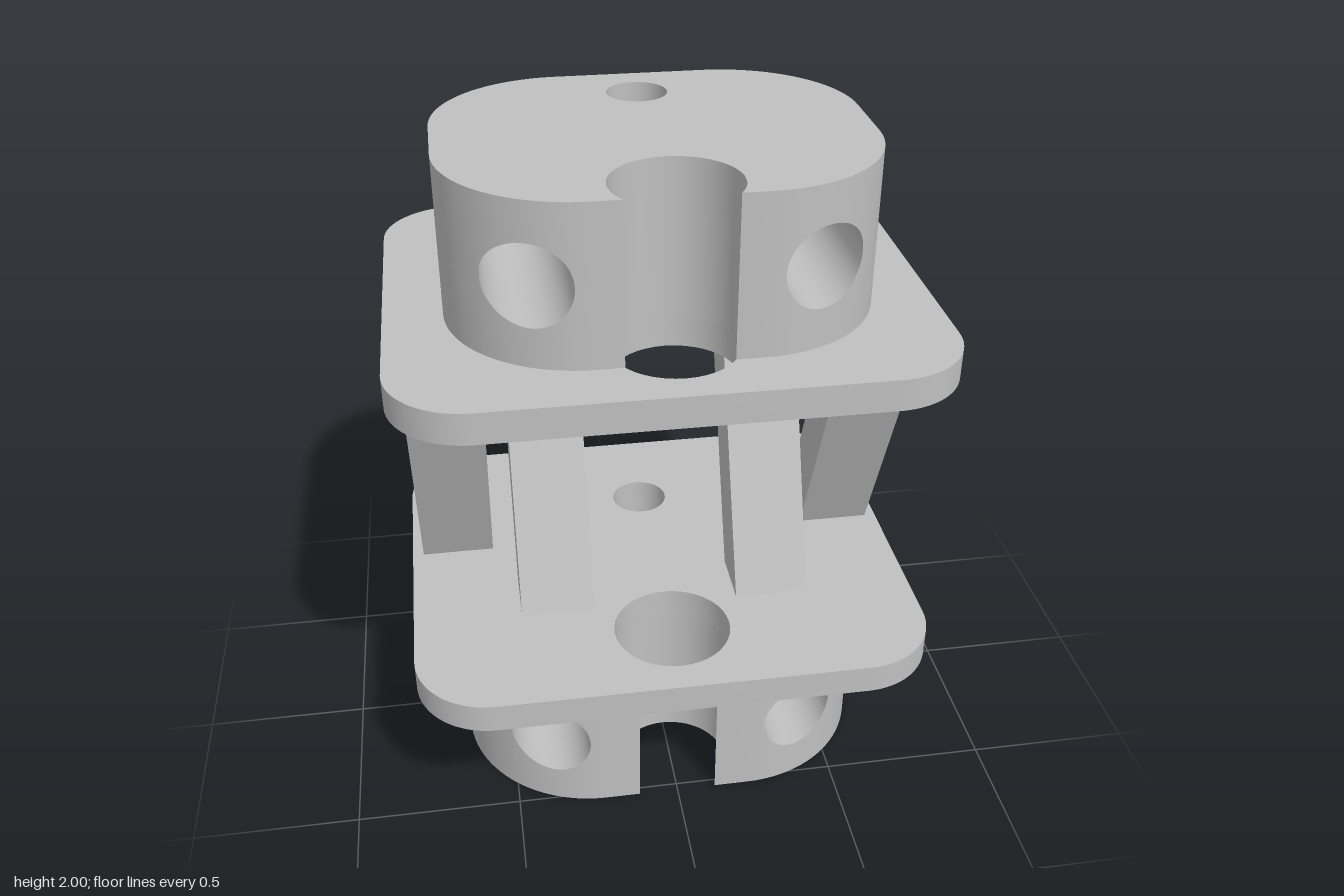
import * as THREE from 'three';
import { mergeGeometries, toCreasedNormals } from 'three/addons/utils/BufferGeometryUtils.js';

const PI = Math.PI;
const NOTCH = { z: 0.395, r: 0.177 };              // large vertical bore, open at the front of the blocks
const PIN = { z: -0.317, r: 0.09 };                // small vertical bore
const BORE = { x: 0.39, r: 0.118, steps: 24 };     // horizontal bores, running front to back

// Smooth surface between two matching rows of points
function sheet(a, b) {
  const index = [];
  const n = a.length;
  for (let i = 0; i < n - 1; i++) index.push(i, i + 1, n + i, i + 1, n + i + 1, n + i);
  const g = new THREE.BufferGeometry();
  g.setAttribute('position', new THREE.Float32BufferAttribute([...a, ...b].flat(), 3));
  g.setIndex(index);
  g.computeVertexNormals();
  return g;
}

// Plan points [x, z] on a circle, angle measured from the front
function arc({ z, r }, a0, a1, n) {
  return Array.from({ length: n + 1 }, (_, i) => {
    const a = a0 + ((a1 - a0) * i) / n;
    return [r * Math.sin(a), z + r * Math.cos(a)];
  });
}

// Upright wall along plan points
const wall = (pts, y0, y1) => sheet(pts.map(([x, z]) => [x, y0, z]), pts.map(([x, z]) => [x, y1, z]));

// Rounded block with a front notch, a pin hole and two cross bores
function blockGeometry(hx, hz, r, y0, y1) {
  const yc = (y0 + y1) / 2;
  const depth = (x) => {
    const d = Math.max(0, Math.abs(x) - (hx - r));
    return hz - r + Math.sqrt(Math.max(0, r * r - d * d));
  };

  // One quarter of the outline, sampled to match the bore rims
  const xs = [];
  for (let i = 0; i <= 24; i++) {
    const x = hx - r + r * Math.sin((i / 24) * PI / 2);
    if (Math.abs(x - BORE.x) > BORE.r + 0.002) xs.push(x);
  }
  for (let i = 0; i <= BORE.steps; i++) xs.push(BORE.x + BORE.r * Math.cos((PI * i) / BORE.steps));
  xs.sort((p, q) => p - q);
  const quarter = xs.map((x) => [x, depth(x)]);
  const back = [...quarter].reverse();
  const edge = Math.sqrt(NOTCH.r ** 2 - (hz - NOTCH.z) ** 2);
  const ring = [
    [edge, hz], ...quarter,
    ...back.map(([x, z]) => [x, -z]),
    ...quarter.map(([x, z]) => [-x, -z]),
    ...back.map(([x, z]) => [-x, z]), [-edge, hz],
  ];

  // Outer wall in two bands, parting around the bores
  const gap = ([x]) => Math.sqrt(Math.max(0, BORE.r ** 2 - (Math.abs(x) - BORE.x) ** 2));
  const row = (f) => ring.map((p) => [p[0], f(p), p[1]]);
  const parts = [
    sheet(row(() => y0), row((p) => yc - gap(p))),
    sheet(row((p) => yc + gap(p)), row(() => y1)),
  ];

  // Notch and pin hole walls
  const a = Math.atan2(edge, hz - NOTCH.z);
  const notch = arc(NOTCH, 2 * PI - a, a, 40);
  const pin = arc(PIN, 2 * PI, 0, 40);
  parts.push(wall(notch, y0, y1), wall(pin, y0, y1));

  // Cross bores
  for (const side of [-1, 1]) {
    const rim = (s) => Array.from({ length: 2 * BORE.steps + 1 }, (_, i) => {
      const t = (PI * i) / BORE.steps;
      const x = side * BORE.x + BORE.r * Math.cos(t);
      return [x, yc + BORE.r * Math.sin(t), s * depth(x)];
    });
    parts.push(sheet(rim(1), rim(-1)));
  }

  // Top and bottom faces
  for (const [s, y] of [[-1, y1], [1, y0]]) {
    const flat = (pts) => pts.map(([x, z]) => new THREE.Vector2(x, s * z));
    const shape = new THREE.Shape(flat([...ring, ...notch.slice(1, -1)]));
    shape.holes.push(new THREE.Path(flat(pin.slice(0, -1))));
    const cap = new THREE.ShapeGeometry(shape).rotateX((s * PI) / 2).translate(0, y, 0);
    cap.deleteAttribute('uv');
    parts.push(cap);
  }
  return mergeGeometries(parts);
}

// Rounded flange plate with both vertical bores
function plateGeometry(hx, hz, r, y0, y1) {
  const s = new THREE.Shape();
  s.absarc(hx - r, hz - r, r, 0, PI / 2);
  s.absarc(r - hx, hz - r, r, PI / 2, PI);
  s.absarc(r - hx, r - hz, r, PI, 1.5 * PI);
  s.absarc(hx - r, r - hz, r, 1.5 * PI, 2 * PI);
  for (const h of [NOTCH, PIN]) s.holes.push(new THREE.Path().absarc(0, -h.z, h.r, 0, 2 * PI, true));
  const g = new THREE.ExtrudeGeometry(s, { depth: y1 - y0, bevelEnabled: false, curveSegments: 20 });
  g.rotateX(-PI / 2).translate(0, y0, 0);
  return toCreasedNormals(g, 0.6);
}

// Slanted strut: a box sheared along z so its ends stay level
function strutGeometry(width, thick, y0, y1, lean) {
  const g = new THREE.BoxGeometry(width, y1 - y0, thick);
  const p = g.attributes.position;
  for (let i = 0; i < p.count; i++) p.setZ(i, p.getZ(i) + Math.sign(p.getY(i)) * lean);
  g.computeVertexNormals();
  return g.translate(0, (y0 + y1) / 2, 0);
}

export function createModel() {
  const model = new THREE.Group();
  model.name = 'strutMount';
  const grey = new THREE.MeshStandardMaterial({ color: 0xc0c0c0 });
  grey.name = 'grey';
  const add = (name, geometry, x = 0) => {
    const m = new THREE.Mesh(geometry, grey);
    m.name = name;
    m.position.x = x;
    model.add(m);
  };

  add('lowerBlock', blockGeometry(0.637, 0.525, 0.41, 0, 0.47));
  add('lowerPlate', plateGeometry(0.78, 0.665, 0.23, 0.47, 0.56));
  add('upperPlate', plateGeometry(0.78, 0.665, 0.23, 1.44, 1.533));
  add('upperBlock', blockGeometry(0.61, 0.493, 0.385, 1.533, 2));

  // Crossing struts: inner pair leans back, outer pair leans forward
  for (const side of [-1, 1]) {
    const label = side > 0 ? 'left' : 'right';
    add(label + 'InnerStrut', strutGeometry(0.226, 0.185, 0.56, 1.44, -0.184), side * 0.336);
    add(label + 'OuterStrut', strutGeometry(0.226, 0.185, 0.56, 1.44, 0.184), side * 0.632);
  }
  return model;
}
